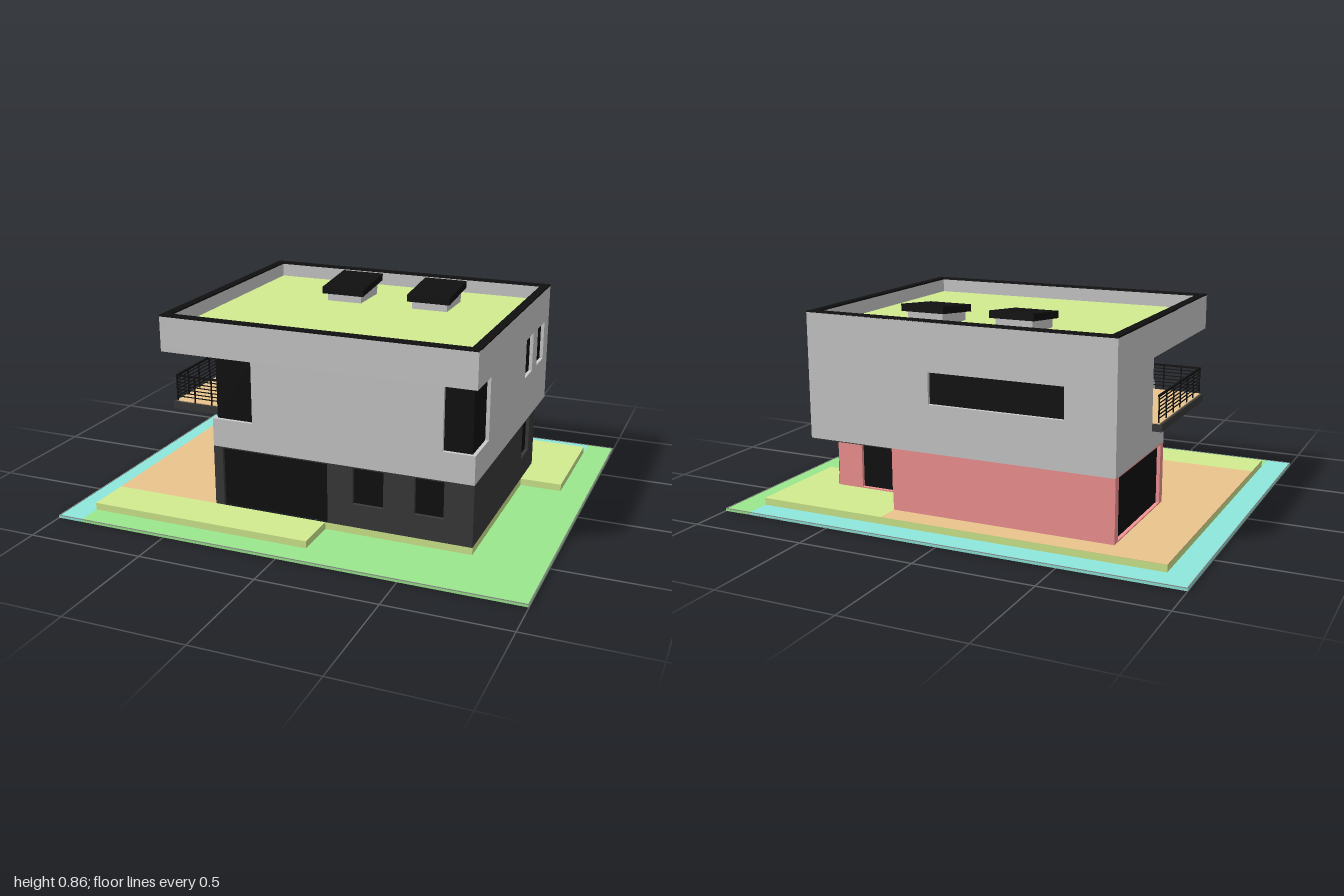
import * as THREE from 'three';

const mat = (color) => new THREE.MeshStandardMaterial({ color, side: THREE.DoubleSide });
const GREY = mat(0xcccccc), DARK = mat(0x3a3a3a), BLACK = mat(0x101010), PINK = mat(0xf59595);
const LIME = mat(0xd2ec90), GREEN = mat(0x9be88e), TEAL = mat(0x8ee8dc), WOOD = mat(0xebc48c);
const KERB = mat(0x888888);

const rect = (a0, a1, b0, b1) => [[a0, b0], [a1, b0], [a1, b1], [a0, b1]];
const toShape = (pts, f) => new THREE.Shape(pts.map(([a, b]) => f(a, b)));

export function createModel() {
  const root = new THREE.Group();

  const add = (name, geo, material, parent = root) => {
    const mesh = new THREE.Mesh(geo, material);
    mesh.name = name;
    parent.add(mesh);
    return mesh;
  };
  const box = (name, m, x0, x1, y0, y1, z0, z1, parent) => {
    const g = new THREE.BoxGeometry(x1 - x0, y1 - y0, z1 - z0);
    g.translate((x0 + x1) / 2, (y0 + y1) / 2, (z0 + z1) / 2);
    return add(name, g, m, parent);
  };
  // Horizontal plate from an [x, z] outline
  const slab = (name, m, pts, y0, y1) => {
    const g = new THREE.ExtrudeGeometry(toShape(pts, (x, z) => new THREE.Vector2(x, -z)),
      { depth: y1 - y0, bevelEnabled: false });
    g.rotateX(-Math.PI / 2).translate(0, y0, 0);
    return add(name, g, m);
  };
  // Upright plate: outer face at pos on the axis, facing dir, outline in [x or z, y]
  const wall = (name, m, axis, dir, pos, pts, holes = [], t = 0.035) => {
    const s = axis === 'x' ? -1 : 1;
    const f = (a, y) => new THREE.Vector2(s * a, y);
    const shape = toShape(pts, f);
    shape.holes = holes.map((h) => new THREE.Path(rect(...h).map(([a, y]) => f(a, y))));
    const g = new THREE.ExtrudeGeometry(shape, { depth: t, bevelEnabled: false });
    g.translate(0, 0, dir > 0 ? pos - t : pos);
    if (axis === 'x') g.rotateY(Math.PI / 2);
    return add(name, g, m);
  };
  // Glass set back from the wall face
  const glass = (name, axis, dir, pos, panes) => panes.forEach((p) =>
    wall(name, BLACK, axis, dir, pos - dir * 0.015, rect(...p), [], 0.012));
  const wallWithGlass = (name, m, axis, dir, pos, pts, panes) => {
    wall(name, m, axis, dir, pos, pts, panes);
    glass(name + 'Window', axis, dir, pos, panes);
  };

  // Ground: water strip, lawn and kerb
  slab('waterStrip', TEAL, [[-1, -0.82], [0.88, -0.82], [0.88, -0.71], [-0.89, -0.71], [-0.89, 0.82], [-1, 0.82]], 0, 0.01);
  slab('lawn', GREEN, [[0.88, -0.82], [1, -0.82], [1, 0.82], [-0.89, 0.82], [-0.89, 0.71],
    [0.08, 0.71], [0.08, 0.52], [0.7, 0.52], [0.7, -0.22], [0.88, -0.22]], 0, 0.01);
  for (const s of [-1, 1]) {
    box('kerb', KERB, s * 0.998 - 0.002, s * 0.998 + 0.002, 0, 0.012, -0.82, 0.82);
    box('kerb', KERB, -1, 1, 0, 0.012, s * 0.818 - 0.002, s * 0.818 + 0.002);
  }

  // Terrace tops and the skirt round terrace and house
  slab('woodTerrace', WOOD, [[-0.89, -0.71], [0.31, -0.71], [0.31, -0.61], [-0.65, -0.61],
    [-0.65, -0.05], [-0.42, -0.05], [-0.42, 0.52], [-0.89, 0.52]], 0.035, 0.04);
  slab('frontTerrace', LIME, rect(-0.89, 0.08, 0.52, 0.71), 0.035, 0.04);
  slab('backTerrace', LIME, [[0.31, -0.71], [0.88, -0.71], [0.88, -0.22], [0.7, -0.22], [0.7, -0.42], [0.31, -0.42]], 0.035, 0.04);
  const edge = [[-0.89, -0.71], [0.88, -0.71], [0.88, -0.22], [0.7, -0.22], [0.7, 0.52], [0.08, 0.52], [0.08, 0.71], [-0.89, 0.71]];
  edge.forEach(([x0, z0], i) => {
    const [x1, z1] = edge[(i + 1) % edge.length];
    const g = new THREE.PlaneGeometry(Math.hypot(x1 - x0, z1 - z0), 0.04);
    g.rotateY(Math.atan2(z0 - z1, x1 - x0) + Math.PI).translate((x0 + x1) / 2, 0.02, (z0 + z1) / 2);
    add('terraceSkirt', g, LIME);
  });

  // Ground floor walls
  const lo = (a0, a1) => rect(a0, a1, 0.04, 0.3);
  wall('lowerFrontWall', DARK, 'z', 1, 0.52, [[-0.42, 0.04], [-0.38, 0.04], [-0.38, 0.295], [0.09, 0.295], [0.09, 0.04],
    [0.7, 0.04], [0.7, 0.3], [-0.42, 0.3]], [[0.2, 0.33, 0.14, 0.295], [0.46, 0.58, 0.14, 0.295]]);
  glass('lowerFrontWindow', 'z', 1, 0.52, [[-0.38, 0.09, 0.04, 0.3], [0.2, 0.33, 0.14, 0.3], [0.46, 0.58, 0.14, 0.3]]);
  wallWithGlass('lowerSideWall', DARK, 'x', 1, 0.7, lo(-0.42, 0.52), [[-0.33, -0.21, 0.14, 0.295]]);
  wallWithGlass('terraceSideWall', DARK, 'x', -1, -0.42, lo(-0.05, 0.52), [[-0.01, 0.485, 0.045, 0.295]]);
  wall('pinkFrontWall', PINK, 'z', 1, -0.05, lo(-0.65, -0.42));
  wallWithGlass('pinkSideWall', PINK, 'x', -1, -0.65, lo(-0.61, -0.05), [[-0.575, -0.085, 0.045, 0.295]]);
  wall('pinkBackWall', PINK, 'z', -1, -0.61, lo(-0.65, 0.31));
  wall('porchSideWall', PINK, 'x', 1, 0.31, lo(-0.61, -0.42));
  wallWithGlass('porchBackWall', PINK, 'z', -1, -0.42, lo(0.275, 0.698), [[0.43, 0.58, 0.045, 0.295]]);

  // Floor between the storeys and the porch ceiling
  slab('upperFloor', GREY, [[-0.65, -0.61], [0.7, -0.61], [0.7, 0.52], [-0.42, 0.52], [-0.42, -0.05], [-0.65, -0.05]], 0.3, 0.32);
  box('porchCeiling', DARK, 0.312, 0.698, 0.296, 0.302, -0.608, -0.422);

  // Upper walls, notched for the corner windows and the open balcony corner
  wall('upperFrontWall', GREY, 'z', 1, 0.52, [[-0.42, 0.3], [0.7, 0.3], [0.7, 0.42], [0.57, 0.42], [0.57, 0.68], [0.7, 0.68],
    [0.7, 0.83], [-0.65, 0.83], [-0.65, 0.68], [-0.24, 0.68], [-0.24, 0.42], [-0.42, 0.42]]);
  glass('frontCornerWindow', 'z', 1, 0.52, [[-0.405, -0.24, 0.42, 0.68], [0.57, 0.685, 0.42, 0.68]]);
  const upperWindows = [[-0.33, -0.21, 0.51, 0.68], [-0.53, -0.41, 0.51, 0.68]];
  wall('upperSideWall', GREY, 'x', 1, 0.7, [[-0.61, 0.3], [0.52, 0.3], [0.52, 0.42], [0.34, 0.42], [0.34, 0.68], [0.52, 0.68],
    [0.52, 0.83], [-0.61, 0.83]], upperWindows);
  glass('upperSideWindow', 'x', 1, 0.7, [...upperWindows, [0.34, 0.505, 0.42, 0.68]]);
  wallWithGlass('upperBackWall', GREY, 'z', -1, -0.61, rect(-0.65, 0.7, 0.3, 0.83), [[-0.44, 0.14, 0.5, 0.63]]);
  wall('upperBalconySideWall', GREY, 'x', -1, -0.65, [[-0.61, 0.3], [-0.05, 0.3], [-0.05, 0.38], [-0.2, 0.38], [-0.2, 0.68],
    [0.52, 0.68], [0.52, 0.83], [-0.61, 0.83]]);
  wall('balconyInnerWall', GREY, 'x', -1, -0.42, [[-0.2, 0.3], [0.52, 0.3], [0.52, 0.42], [0.34, 0.42], [0.34, 0.68], [-0.2, 0.68]]);
  glass('balconyCornerWindow', 'x', -1, -0.42, [[0.34, 0.505, 0.42, 0.68]]);
  wallWithGlass('balconyDoorWall', GREY, 'z', 1, -0.2, rect(-0.65, -0.42, 0.3, 0.69), [[-0.63, -0.47, 0.42, 0.68]]);
  wall('balconyBaseWall', GREY, 'z', 1, -0.05, rect(-0.65, -0.42, 0.3, 0.38));
  box('balconySoffit', GREY, -0.65, -0.42, 0.68, 0.7, -0.2, 0.52);

  // Balcony with a barred railing
  const balcony = new THREE.Group();
  balcony.name = 'balcony';
  root.add(balcony);
  box('balconySlab', DARK, -0.69, -0.42, 0.38, 0.412, -0.2, 0.375, balcony);
  box('balconyDeck', WOOD, -0.68, -0.42, 0.412, 0.416, -0.2, 0.365, balcony);
  const r = 0.0025;
  for (let i = 0; i < 7; i++) {
    const y = 0.435 + i * 0.0155;
    const h = i === 6 ? 0.004 : 0.0018;
    box('railBar', BLACK, -0.675 - h, -0.675 + h, y - h, y + h, -0.2, 0.365, balcony);
    box('railBar', BLACK, -0.675, -0.42, y - h, y + h, 0.365 - h, 0.365 + h, balcony);
  }
  for (let i = 0; i <= 6; i++) {
    const z = -0.195 + i * 0.56 / 6;
    box('railPost', BLACK, -0.675 - r, -0.675 + r, 0.41, 0.53, z - r, z + r, balcony);
  }
  for (const x of [-0.59, -0.51, -0.425]) {
    box('railPost', BLACK, x - r, x + r, 0.41, 0.53, 0.365 - r, 0.365 + r, balcony);
  }

  // Roof with its parapet cap
  box('roof', LIME, -0.62, 0.67, 0.75, 0.77, -0.58, 0.49);
  const cap = 0.036;
  for (const [x0, x1, z0, z1] of [[-0.65, 0.7, 0.52 - cap, 0.52], [-0.65, 0.7, -0.61, -0.61 + cap],
    [-0.65, -0.65 + cap, -0.61 + cap, 0.52 - cap], [0.7 - cap, 0.7, -0.61 + cap, 0.52 - cap]]) {
    box('parapetCap', BLACK, x0, x1, 0.828, 0.835, z0, z1);
  }

  // Sloping skylights on grey curbs
  for (const x of [-0.135, 0.265]) {
    const side = (name, m, w, pts) => wall(name, m, 'x', 1, x + w / 2, pts, [], w);
    side('skylightCurb', GREY, 0.16, [[-0.4, 0.77], [-0.2, 0.77], [-0.2, 0.815], [-0.4, 0.835]]);
    side('skylight', BLACK, 0.194, [[-0.425, 0.83], [-0.18, 0.805], [-0.18, 0.835], [-0.425, 0.86]]);
  }
  return root;
}
